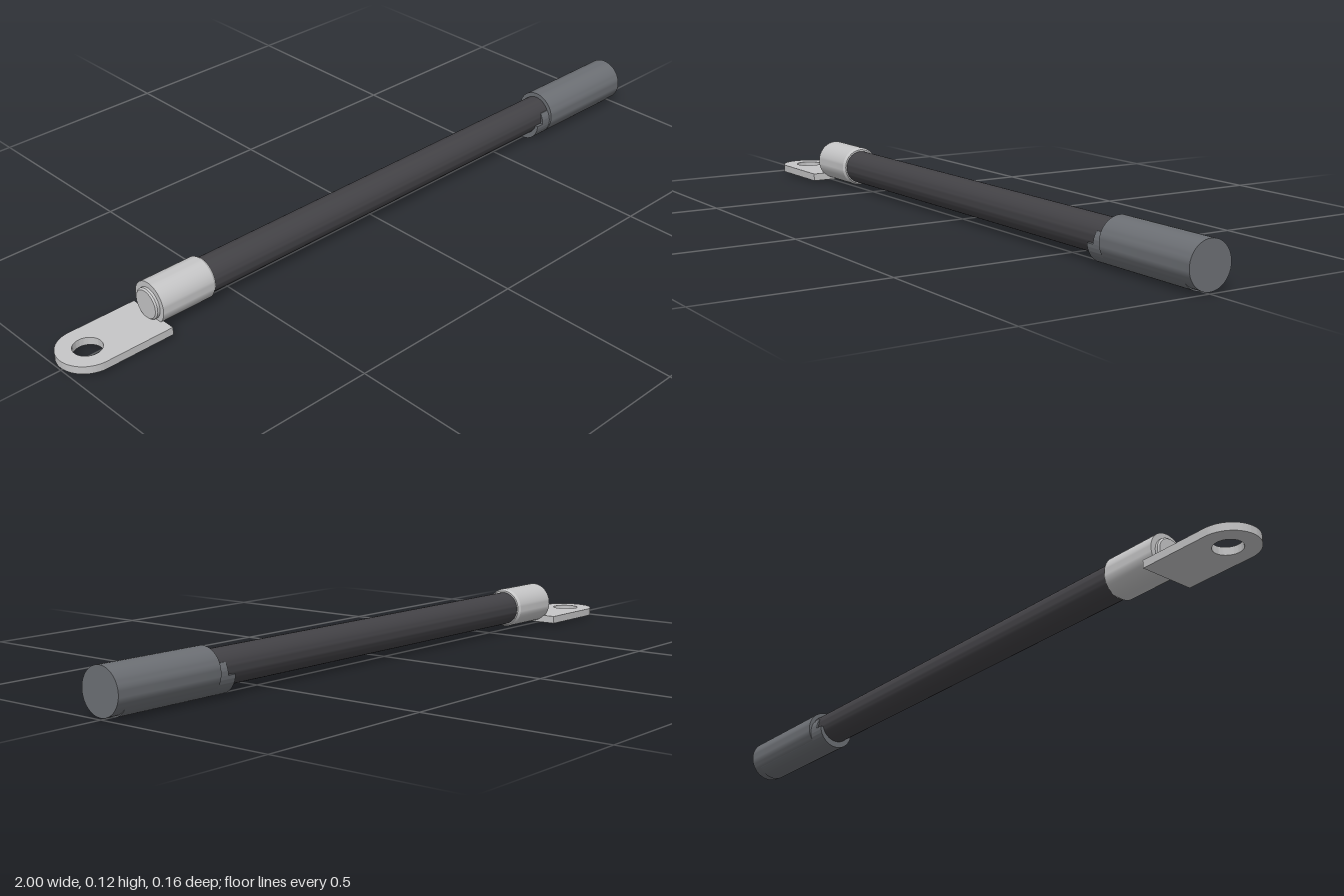
import * as THREE from 'three';
import { toCreasedNormals } from 'three/addons/utils/BufferGeometryUtils.js';

const AXIS_Y = 0.066;

export function createModel() {
  const model = new THREE.Group();
  model.name = 'cableWithLug';

  const paint = (name, color) => {
    const m = new THREE.MeshStandardMaterial({ color });
    m.name = name;
    return m;
  };
  const metal = paint('tinned metal', 0xc6c6c7);
  const rubber = paint('black rubber', 0x434246);
  const plastic = paint('grey plastic', 0x6c6f74);

  const add = (name, geometry, material, x = 0, y = 0, parent = model) => {
    const mesh = new THREE.Mesh(toCreasedNormals(geometry, 0.5), material);
    mesh.name = name;
    mesh.position.set(x, y, 0);
    parent.add(mesh);
    return mesh;
  };

  // Solid turned about the x axis from [x, radius] pairs, in order of rising x
  const turned = (profile) =>
    new THREE.LatheGeometry(profile.map(([x, r]) => new THREE.Vector2(r, x)), 48).rotateZ(-Math.PI / 2);

  // Round bar along x, cut flat at height cut above its centre
  const troughBar = (radius, cut, length) => {
    const a = Math.asin(cut / radius);
    const shape = new THREE.Shape();
    shape.absarc(0, 0, radius, Math.PI - a, 2 * Math.PI + a, false);
    shape.closePath();
    return new THREE.ExtrudeGeometry(shape, { depth: length, bevelEnabled: false, curveSegments: 40 })
      .rotateY(Math.PI / 2);
  };

  // Cable
  add('cable', turned([[-0.7, 0], [-0.7, 0.047], [0.8, 0.047], [0.8, 0]]), rubber, 0, AXIS_Y);

  // Lug: flat tongue with a bolt hole, barrel and inner plug
  const lug = new THREE.Group();
  lug.name = 'lug';
  model.add(lug);

  const w = 0.078;
  const tongue = new THREE.Shape();
  tongue.moveTo(-0.73, -w);
  tongue.lineTo(-0.73, w);
  tongue.lineTo(-1 + w, w);
  tongue.absarc(-1 + w, 0, w, Math.PI / 2, Math.PI * 1.5, false);
  tongue.closePath();
  const hole = new THREE.Path();
  hole.absarc(-1 + w, 0, 0.037, 0, Math.PI * 2, true);
  tongue.holes.push(hole);
  add('lugTongue',
    new THREE.ExtrudeGeometry(tongue, { depth: 0.021, bevelEnabled: false, curveSegments: 32 }).rotateX(-Math.PI / 2),
    metal, 0, 0.008, lug);

  add('lugBarrel', turned([
    [-0.738, 0], [-0.738, 0.056], [-0.582, 0.056], [-0.574, 0.051], [-0.574, 0.046],
  ]), metal, 0, AXIS_Y + 0.001, lug);
  add('lugPlug', turned([[-0.749, 0], [-0.749, 0.038], [-0.745, 0.042], [-0.73, 0.042]]), metal, 0, AXIS_Y, lug);

  // End cap with a stepped cradle under the cable
  add('endCap', turned([[0.683, 0], [0.683, 0.06], [1, 0.06], [1, 0]]), plastic, 0, 0.065);
  add('cradle', troughBar(0.054, 0, 0.34), plastic, 0.63, 0.055);
  add('cradleStep', troughBar(0.0538, 0.031, 0.04), plastic, 0.653, 0.055);

  return model;
}
